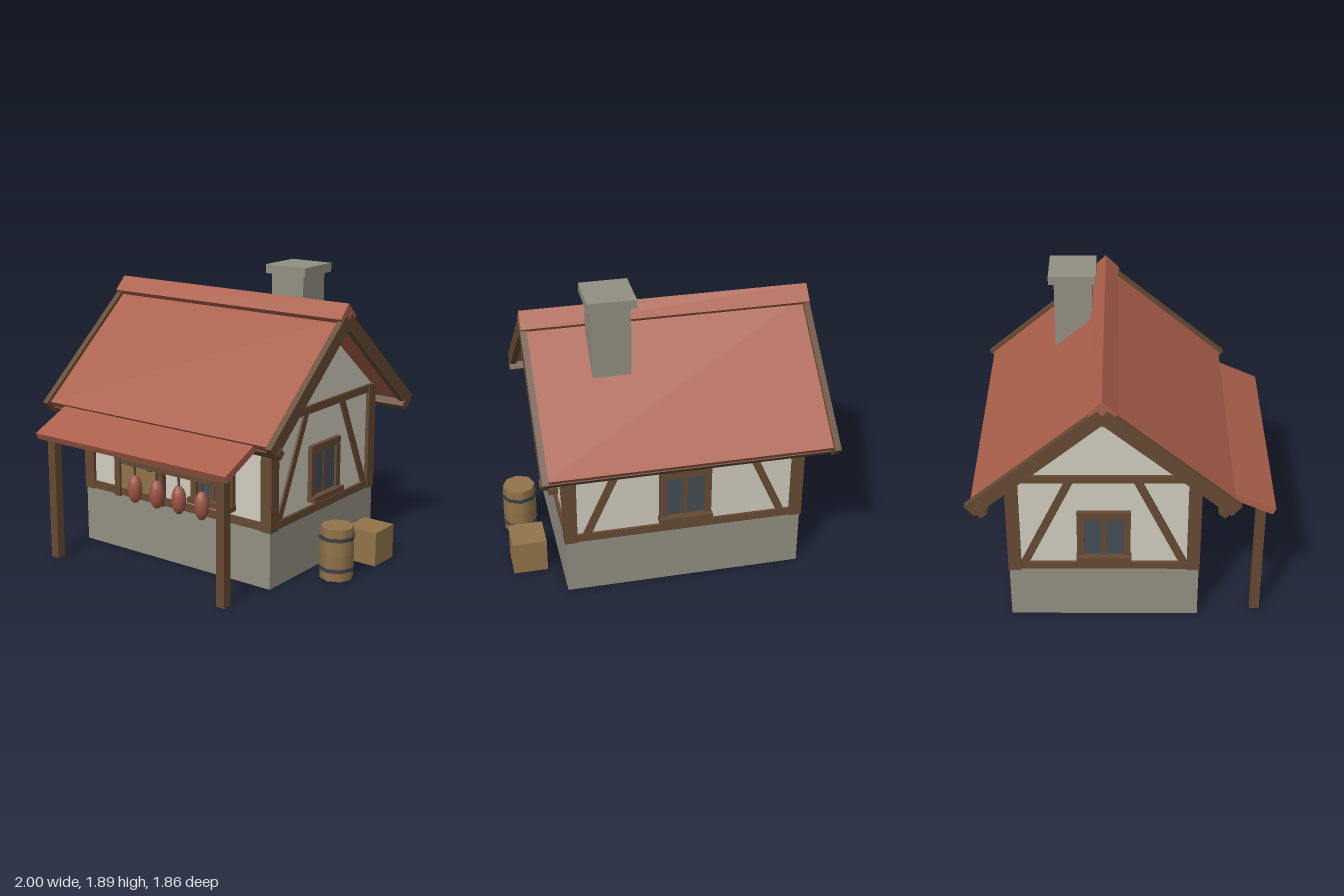
import * as THREE from 'three';

const paint = (name, hex) => {
  const m = new THREE.MeshStandardMaterial({ color: hex });
  m.name = name;
  return m;
};

export function createModel() {
  const model = new THREE.Group();
  model.name = 'cottage';
  const stone = paint('stone', 0x938f82);
  const plaster = paint('plaster', 0xd0ccbf);
  const wood = paint('dark timber', 0x664a33);
  const tile = paint('roof tile', 0xaa5f4b);
  const plank = paint('plank', 0x92744a);
  const glass = paint('glass', 0x444e56);
  const iron = paint('iron', 0x3c434a);
  const meat = paint('cured meat', 0x9c5544);

  const add = (name, geo, mat, x, y, z, parent = model) => {
    const mesh = new THREE.Mesh(geo, mat);
    mesh.name = name;
    mesh.position.set(x, y, z);
    parent.add(mesh);
    return mesh;
  };
  const box = (name, mat, w, h, d, x, y, z, parent) =>
    add(name, new THREE.BoxGeometry(w, h, d), mat, x, y, z, parent);

  // The house has its own centre; everything fixed to it is placed inside
  const house = new THREE.Group();
  house.name = 'house';
  house.position.set(-0.08, 0, -0.11);
  model.add(house);
  const HX = 0.74, HZ = 0.575;

  // Stone base and plastered walls with gables
  box('stoneBase', stone, 1.51, 0.37, 1.18, 0, 0.185, 0, house);
  const profile = new THREE.Shape([
    [-HZ, 0.37], [HZ, 0.37], [HZ, 1.08], [0, 1.545], [-HZ, 1.08],
  ].map(([z, y]) => new THREE.Vector2(z, y)));
  const walls = new THREE.ExtrudeGeometry(profile, { depth: HX * 2, bevelEnabled: false });
  walls.translate(0, 0, -HX).rotateY(Math.PI / 2);
  add('walls', walls, plaster, 0, 0, 0, house);

  // Corner posts, sill beams and top beams
  for (const sx of [-1, 1]) {
    for (const sz of [-1, 1]) {
      box('cornerPost', wood, 0.08, 0.715, 0.08, sx * 0.725, 0.7225, sz * 0.555, house);
    }
    for (const y of [0.395, 1.055]) {
      box('sideBeam', wood, 0.04, 0.05, 1.1, sx * 0.738, y, 0, house);
      box('longBeam', wood, 1.44, 0.05, 0.04, 0, y, sx * 0.573, house);
    }
  }

  // Timber details are laid out on flat wall frames whose +z points outward
  const wallFrame = (name, x, z, turn) => {
    const g = new THREE.Group();
    g.name = name;
    g.position.set(x, 0, z);
    g.rotation.y = turn;
    house.add(g);
    return g;
  };
  const braces = (wall, low, high) => {
    const dy = 0.65;
    for (const s of [-1, 1]) {
      const b = box('brace', wood, 0.048, Math.hypot(dy, low - high), 0.025,
        s * (low + high) / 2, 0.725, 0.002, wall);
      b.rotation.z = s * Math.atan2(low - high, dy);
    }
  };
  const addWindow = (wall, x) => {
    const w = new THREE.Group();
    w.name = 'window';
    w.position.set(x, 0.633, 0);
    wall.add(w);
    box('pane', glass, 0.25, 0.3, 0.008, 0, -0.01, 0.008, w);
    for (const s of [-1, 1]) {
      box('frameSide', wood, 0.045, 0.365, 0.03, s * 0.1425, 0, 0.015, w);
      box('frameRail', wood, 0.24, s > 0 ? 0.053 : 0.035, 0.03, 0, s > 0 ? 0.156 : -0.165, 0.015, w);
    }
    box('mullion', wood, 0.03, 0.28, 0.018, 0, -0.01, 0.009, w);
    box('windowSill', wood, 0.34, 0.036, 0.06, 0, -0.165, 0.03, w);
  };
  const front = wallFrame('frontWall', 0, HZ, 0);
  const back = wallFrame('backWall', 0, -HZ, Math.PI);
  const left = wallFrame('leftWall', HX, 0, Math.PI / 2);
  const right = wallFrame('rightWall', -HX, 0, -Math.PI / 2);
  addWindow(front, 0.315);
  addWindow(back, 0);
  braces(back, 0.63, 0.34);
  for (const wall of [left, right]) {
    addWindow(wall, 0);
    braces(wall, 0.5, 0.2);
  }

  // Door
  box('door', plank, 0.34, 0.53, 0.02, -0.285, 0.685, 0.008, front);
  box('doorHandle', iron, 0.038, 0.04, 0.03, -0.187, 0.605, 0.025, front);
  for (const x of [-0.465, -0.1]) box('doorPost', wood, 0.045, 0.67, 0.04, x, 0.7, 0.015, front);
  box('doorLintel', wood, 0.41, 0.05, 0.04, -0.2825, 0.97, 0.015, front);

  // Roof: each slope hangs from the ridge, local +z runs down to the eave
  const pitch = 0.703;
  for (const turn of [0, Math.PI]) {
    const side = new THREE.Group();
    side.name = turn ? 'backRoof' : 'frontRoof';
    side.position.y = 1.61;
    side.rotation.set(0, turn, 0);
    house.add(side);
    const slope = new THREE.Group();
    slope.name = 'slope';
    slope.rotation.x = pitch;
    side.add(slope);
    box('roofPanel', tile, 1.78, 0.05, 1.01, 0, 0, 0.505, slope);
    for (const s of [-1, 1]) box('bargeBoard', wood, 0.04, 0.09, 1.036, s * 0.895, 0, 0.518, slope);
    box('eaveBeam', wood, 1.84, 0.05, 0.05, 0, -0.055, 0.99, slope);
  }
  const ridge = box('ridgeCap', tile, 1.822, 0.124, 0.124, 0, 1.622, 0, house);
  ridge.rotation.x = Math.PI / 4;

  // Chimney
  box('chimney', stone, 0.24, 0.63, 0.24, 0.32, 1.515, -0.31);
  box('chimneyCap', stone, 0.3, 0.057, 0.3, 0.32, 1.857, -0.314);

  // Porch awning on two posts
  const awning = box('awning', tile, 1.52, 0.045, 0.566, -0.08, 0.938, 0.667);
  awning.rotation.x = 0.428;
  for (const x of [-0.76, 0.6]) box('porchPost', wood, 0.06, 0.805, 0.06, x, 0.4025, 0.85);

  // Hanging rail with cured hams
  box('hangingRail', wood, 0.76, 0.03, 0.03, 0.16, 0.74, 0.805);
  for (let i = 0; i < 4; i++) {
    const x = -0.12 + i * 0.175;
    box('hamString', wood, 0.012, 0.09, 0.012, x, 0.695, 0.805);
    const ham = add('ham', new THREE.SphereGeometry(0.046, 10, 8), meat, x, 0.578, 0.805);
    ham.scale.y = 2;
  }

  // Barrel and crate beside the house
  const barrel = new THREE.Group();
  barrel.name = 'barrel';
  barrel.position.set(0.88, 0, 0.045);
  model.add(barrel);
  for (const [y, top, bottom] of [[0.255, 0.106, 0.111], [0.085, 0.111, 0.106]]) {
    add('staves', new THREE.CylinderGeometry(top, bottom, 0.17, 8), plank, 0, y, 0, barrel);
  }
  for (const y of [0.07, 0.272]) {
    add('hoop', new THREE.CylinderGeometry(0.115, 0.115, 0.024, 8), iron, 0, y, 0, barrel);
  }
  box('crate', plank, 0.22, 0.225, 0.22, 0.88, 0.1125, -0.352);

  return model;
}
